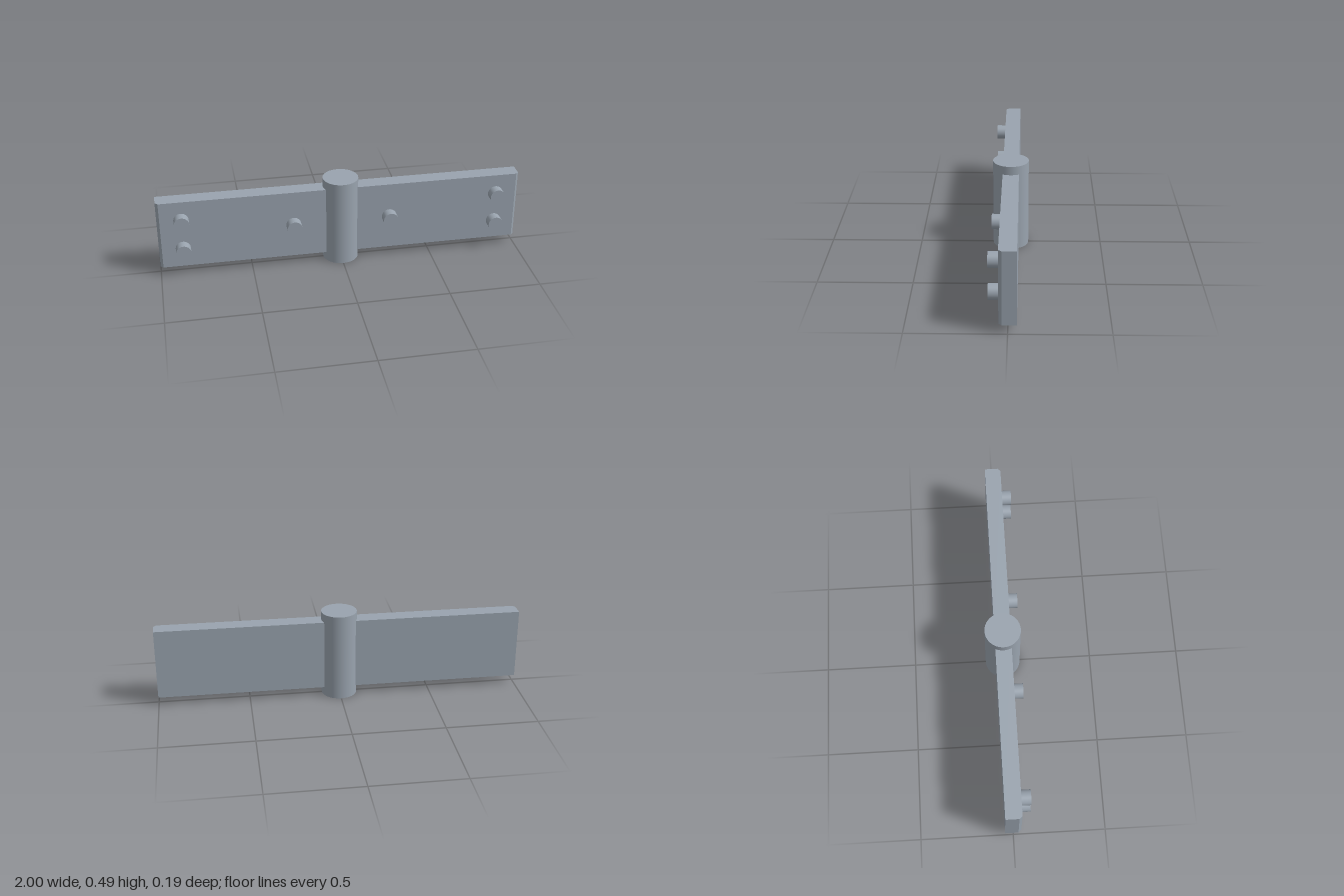
import * as THREE from 'three';

const steel = new THREE.MeshStandardMaterial({ color: 0x99a3ae });
steel.name = 'steel';

const BARREL_R = 0.097, BARREL_H = 0.488;
const LEAF_BOTTOM = 0.049, LEAF_TOP = 0.44, LEAF_Z = 0.044;
const PIN_R = 0.041;

// Flat leaf with its outer front edge bevelled; side is +1 (left) or -1 (right)
function makeLeaf(side) {
  const profile = [
    [0, -LEAF_Z], [1, -LEAF_Z], [1, 0.028], [0.985, LEAF_Z], [0, LEAF_Z],
  ].map(([x, z]) => new THREE.Vector2(side * x, z));
  const geo = new THREE.ExtrudeGeometry(new THREE.Shape(profile), {
    depth: LEAF_TOP - LEAF_BOTTOM, bevelEnabled: false,
  });
  geo.rotateX(Math.PI / 2).translate(0, LEAF_TOP, 0);
  return new THREE.Mesh(geo, steel);
}

export function createModel() {
  const hinge = new THREE.Group();
  hinge.name = 'hinge';

  // Central barrel
  const barrel = new THREE.Mesh(
    new THREE.CylinderGeometry(BARREL_R, BARREL_R, BARREL_H, 64), steel);
  barrel.name = 'barrel';
  barrel.position.y = BARREL_H / 2;
  hinge.add(barrel);

  // Pins stand on the front face, flush with the front of the barrel
  const pinLength = BARREL_R - LEAF_Z;
  const pinGeo = new THREE.CylinderGeometry(PIN_R, PIN_R, pinLength, 40).rotateX(Math.PI / 2);
  const pinSpots = [[0.87, 0.331], [0.87, 0.159], [0.266, 0.245]];

  for (const side of [1, -1]) {
    const name = side > 0 ? 'left' : 'right';
    const leaf = makeLeaf(side);
    leaf.name = name + 'Leaf';
    hinge.add(leaf);

    pinSpots.forEach(([x, y], i) => {
      const pin = new THREE.Mesh(pinGeo, steel);
      pin.name = name + 'Pin' + (i + 1);
      pin.position.set(side * x, y, LEAF_Z + pinLength / 2);
      hinge.add(pin);
    });
  }
  return hinge;
}
